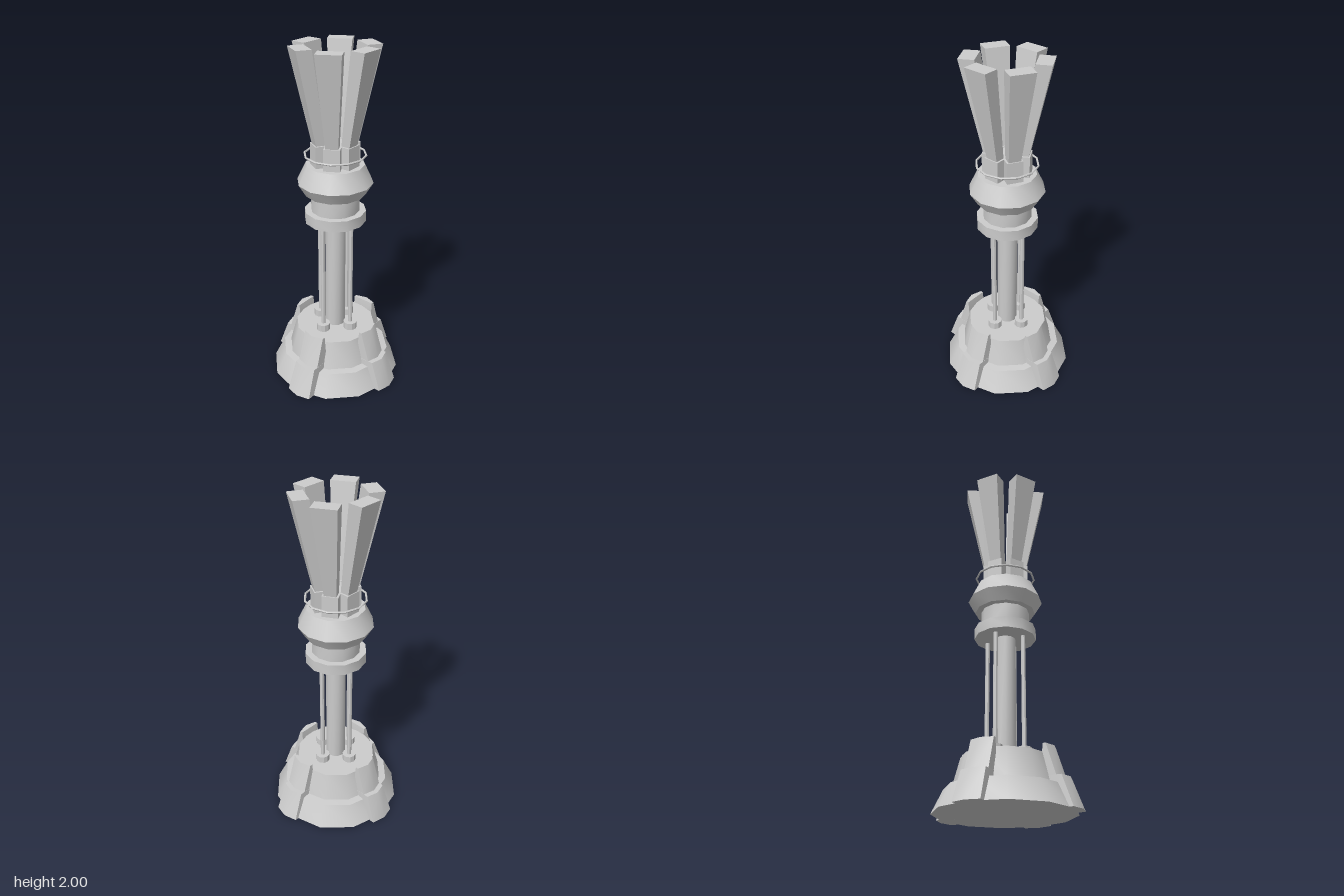
import * as THREE from 'three';
import { toCreasedNormals } from 'three/addons/utils/BufferGeometryUtils.js';

const material = new THREE.MeshStandardMaterial({ color: 0xcccccc });

function add(parent, name, geometry, x = 0, y = 0, z = 0) {
  const mesh = new THREE.Mesh(toCreasedNormals(geometry, 0.6), material);
  mesh.name = name;
  mesh.position.set(x, y, z);
  parent.add(mesh);
  return mesh;
}

// Turned part from [radius, height] pairs, bottom to top
const turned = (profile, sides = 12) =>
  new THREE.LatheGeometry(profile.map(([r, y]) => new THREE.Vector2(r, y)), sides);

const post = (radius, bottom, top, sides) =>
  new THREE.CylinderGeometry(radius, radius, top - bottom, sides).translate(0, (top + bottom) / 2, 0);

// Closed solid through level outlines; each level is { y, points: [[x, z], ...] }
function loft(levels) {
  const positions = [];
  const n = levels[0].points.length;
  const put = (level, i) => positions.push(level.points[i % n][0], level.y, level.points[i % n][1]);
  for (let k = 0; k < levels.length - 1; k++) {
    const low = levels[k], high = levels[k + 1];
    for (let i = 0; i < n; i++) {
      put(low, i); put(low, i + 1); put(high, i + 1);
      put(low, i); put(high, i + 1); put(high, i);
    }
  }
  const first = levels[0], last = levels[levels.length - 1];
  for (let i = 1; i < n - 1; i++) {
    put(last, 0); put(last, i); put(last, i + 1);
    put(first, 0); put(first, i + 1); put(first, i);
  }
  const geometry = new THREE.BufferGeometry();
  geometry.setAttribute('position', new THREE.Float32BufferAttribute(positions, 3));
  geometry.computeVertexNormals();
  return geometry;
}

// Rib outline with a shallow pointed outer face
const ribLevel = (y, w, inner, outer) => ({
  y, points: [[-w, outer - 0.02], [0, outer], [w, outer - 0.02], [w, inner], [-w, inner]],
});

// Rectangular outline for blades and their sockets
const boxLevel = (y, w, inner, outer) => ({
  y, points: [[-w, outer], [w, outer], [w, inner], [-w, inner]],
});

export function createModel() {
  const model = new THREE.Group();
  model.name = 'torchTower';

  // Stepped base
  add(model, 'base', turned([
    [0, 0], [0.388, 0], [0.325, 0.13], [0.283, 0.135], [0.24, 0.3], [0, 0.3],
  ]));

  // Four buttress ribs; the side pair sits slightly forward
  const rib = loft([
    ribLevel(0, 0.08, 0.3, 0.42),
    ribLevel(0.17, 0.071, 0.22, 0.357),
    ribLevel(0.17, 0.07, 0.22, 0.328),
    ribLevel(0.345, 0.068, 0.235, 0.272),
  ]);
  for (let i = 0; i < 4; i++) {
    add(model, 'baseRib', rib, 0, 0, i % 2 ? 0.04 : 0).rotation.y = i * Math.PI / 2;
  }

  // Central column with four thin rods standing in round feet
  add(model, 'column', post(0.06, 0.29, 1.01, 12));
  for (let i = 0; i < 4; i++) {
    const a = i * Math.PI / 2, x = 0.115 * Math.sin(a), z = 0.115 * Math.cos(a);
    add(model, 'rod', post(0.013, 0.3, 1.01, 8), x, 0, z);
    add(model, 'rodFoot', post(0.041, 0.29, 0.343, 10), x, 0, z);
  }

  // Collar, neck and bulging head
  add(model, 'collar', turned([[0, 1], [0.178, 1], [0.178, 1.065], [0, 1.065]]));
  add(model, 'neck', post(0.14, 1.06, 1.18, 12));
  add(model, 'head', turned([
    [0, 1.17], [0.175, 1.17], [0.217, 1.24], [0.167, 1.345], [0, 1.345],
  ]));

  // Thin ring around the crown
  add(model, 'crownRing', new THREE.TorusGeometry(0.173, 0.006, 6, 12).rotateX(Math.PI / 2), 0, 1.4, 0);

  // Crown core, with six sockets and flaring blades around it
  add(model, 'crownCore', post(0.085, 1.34, 1.466, 12));
  const socket = loft([boxLevel(1.34, 0.046, 0.06, 0.132), boxLevel(1.47, 0.046, 0.06, 0.132)]);
  const blade = loft([boxLevel(1.468, 0.035, 0.07, 0.125), boxLevel(2, 0.069, 0.153, 0.24)]);
  for (let i = 0; i < 6; i++) {
    const arm = new THREE.Group();
    arm.name = 'crownArm';
    arm.rotation.y = i * Math.PI / 3;
    add(arm, 'bladeSocket', socket);
    add(arm, 'blade', blade);
    model.add(arm);
  }
  return model;
}
